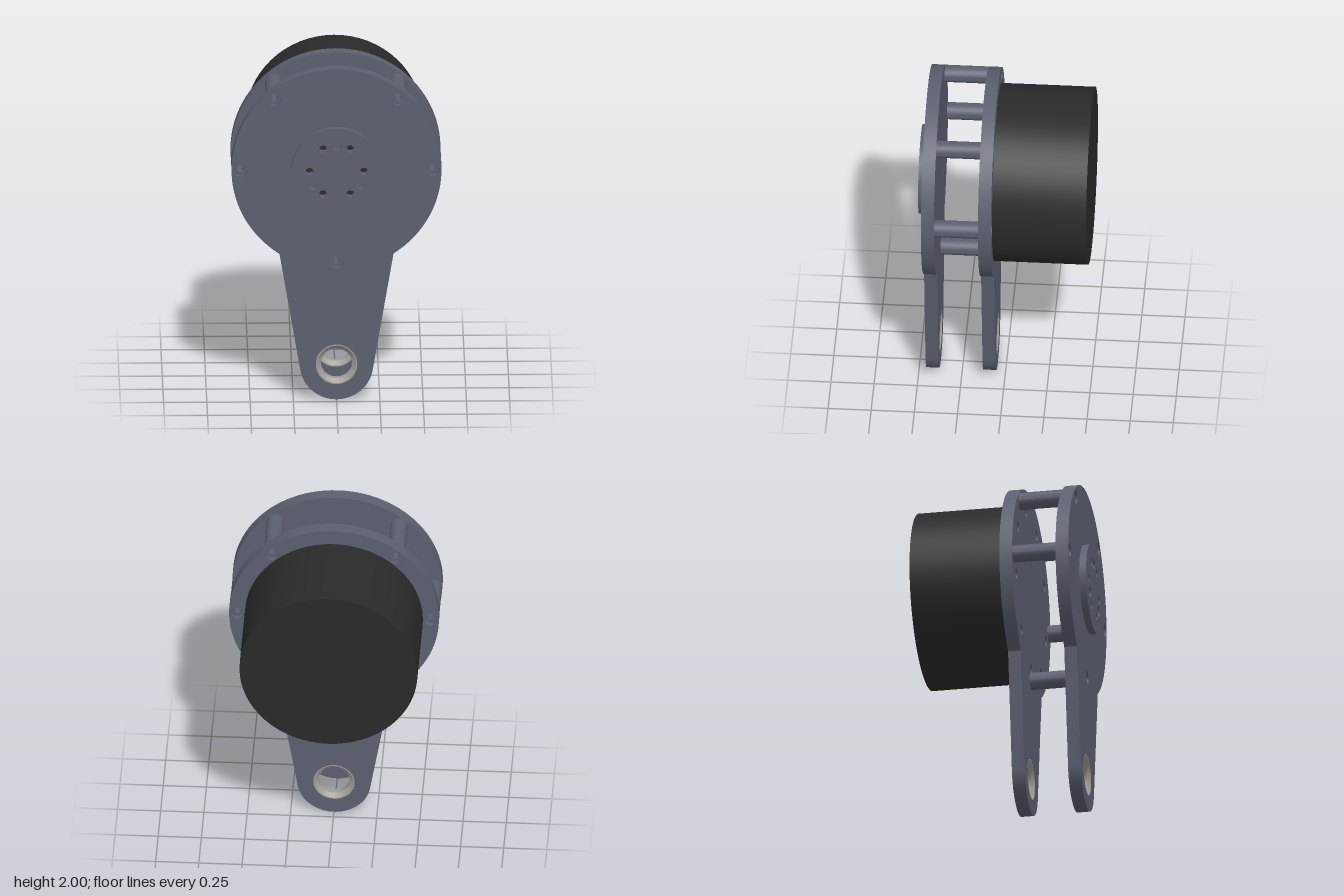
import * as THREE from 'three';
import { toCreasedNormals } from 'three/addons/utils/BufferGeometryUtils.js';

const CY = 1.393;            // main axis height
const PIVOT_Y = 0.212;       // lower pivot height
const PLATE = 0.075;         // plate thickness
const FRONT_Z = 0.38, BACK_Z = 0.05;
const RAD = Math.PI / 180;

export function createModel() {
  const group = new THREE.Group();
  const mat = (name, color) => {
    const m = new THREE.MeshStandardMaterial({ color });
    m.name = name;
    return m;
  };
  const steel = mat('blue grey metal', 0x5b6070);
  const black = mat('black casing', 0x2a2a2a);
  const silver = mat('bushing metal', 0xa09c98);

  const add = (name, geo, material, x = 0, y = 0, z = 0) => {
    const mesh = new THREE.Mesh(toCreasedNormals(geo, 0.5), material);
    mesh.name = name;
    mesh.position.set(x, y, z);
    group.add(mesh);
    return mesh;
  };
  // Closed profile [radius, z] turned about the z axis
  const turned = (pts, seg = 32) =>
    new THREE.LatheGeometry([...pts, pts[0]].map(p => new THREE.Vector2(p[0], p[1])), seg).rotateX(Math.PI / 2);
  const ring = (ri, ro, z0, z1, seg) => turned([[ri, z0], [ro, z0], [ro, z1], [ri, z1]], seg);
  const disc = (r, depth, seg) =>
    new THREE.CylinderGeometry(r, r, depth, seg).rotateX(Math.PI / 2).translate(0, 0, depth / 2);
  const hole = (shape, x, y, r) => shape.holes.push(new THREE.Path().absarc(x, y, r, 0, Math.PI * 2, true));
  const polar = (r, deg) => [r * Math.cos(deg * RAD), r * Math.sin(deg * RAD)];
  const extrude = (shape, depth) =>
    new THREE.ExtrudeGeometry(shape, { depth, bevelEnabled: false, curveSegments: 40 });

  const standoffs = [0, 50, 130, 180, 270].map(a => polar(0.557, a));
  const screws = Array.from({ length: 9 }, (_, i) => polar(0.478, 30 + i * 40));
  const hubScrews = Array.from({ length: 6 }, (_, i) => polar(0.157, i * 60));
  const hubPins = [90, 210, 330].map(a => polar(0.158, a));

  // Round plate running down into a tapered arm
  const plateShape = () => {
    const s = new THREE.Shape();
    s.absarc(0, CY, 0.607, -57.1 * RAD, 237.1 * RAD, false);
    s.absarc(0, PIVOT_Y, 0.212, 190 * RAD, 350 * RAD, false);
    s.closePath();
    hole(s, 0, PIVOT_Y, 0.12);
    standoffs.forEach(([x, y]) => hole(s, x, CY + y, 0.04));
    return s;
  };

  const front = plateShape();
  hole(front, 0, CY, 0.25);
  add('frontPlate', extrude(front, PLATE), steel, 0, 0, FRONT_Z);

  const back = plateShape();
  screws.forEach(([x, y]) => hole(back, x, CY + y, 0.033));
  add('backPlate', extrude(back, PLATE), steel, 0, 0, BACK_Z);

  // Motor drum
  add('motorDrum', disc(0.515, 0.545, 64), black, 0, CY, -0.495);

  // Recessed screws holding the motor to the back plate
  screws.forEach(([x, y]) =>
    add('motorScrew', ring(0.016, 0.033, 0, 0.045, 20), black, x, CY + y, BACK_Z));

  // Output hub with drilled holes
  const hub = new THREE.Shape().absarc(0, 0, 0.26, 0, Math.PI * 2, false);
  hubScrews.forEach(([x, y]) => hole(hub, x, y, 0.023));
  hubPins.forEach(([x, y]) => hole(hub, x, y, 0.031));
  add('outputHub', extrude(hub, 0.04), steel, 0, CY, 0.455);
  add('hubBase', disc(0.25, 0.05, 48), steel, 0, CY, FRONT_Z);
  const core = new THREE.Shape().absarc(0, 0, 0.25, 0, Math.PI * 2, false);
  hubScrews.forEach(([x, y]) => hole(core, x, y, 0.023));
  add('hubCore', extrude(core, 0.025), steel, 0, CY, 0.43);
  hubScrews.forEach(([x, y]) =>
    add('hubScrew', disc(0.023, 0.006, 20), black, x, CY + y, 0.43));

  // Hollow spacers, stepped where they sit inside the plates
  const spacer = turned([
    [0.022, 0.08], [0.04, 0.08], [0.04, 0.125], [0.05, 0.125],
    [0.05, 0.38], [0.04, 0.38], [0.04, 0.425], [0.022, 0.425],
  ]);
  standoffs.forEach(([x, y]) => add('spacer', spacer, steel, x, CY + y, 0));

  // Pivot bushings with chamfered mouths
  const bushing = turned([
    [0.09, 0.02], [0.113, 0], [0.12, 0], [0.12, PLATE], [0.113, PLATE], [0.09, PLATE - 0.02],
  ], 48);
  [FRONT_Z, BACK_Z].forEach(z => add('pivotBushing', bushing, silver, 0, PIVOT_Y, z));

  return group;
}
